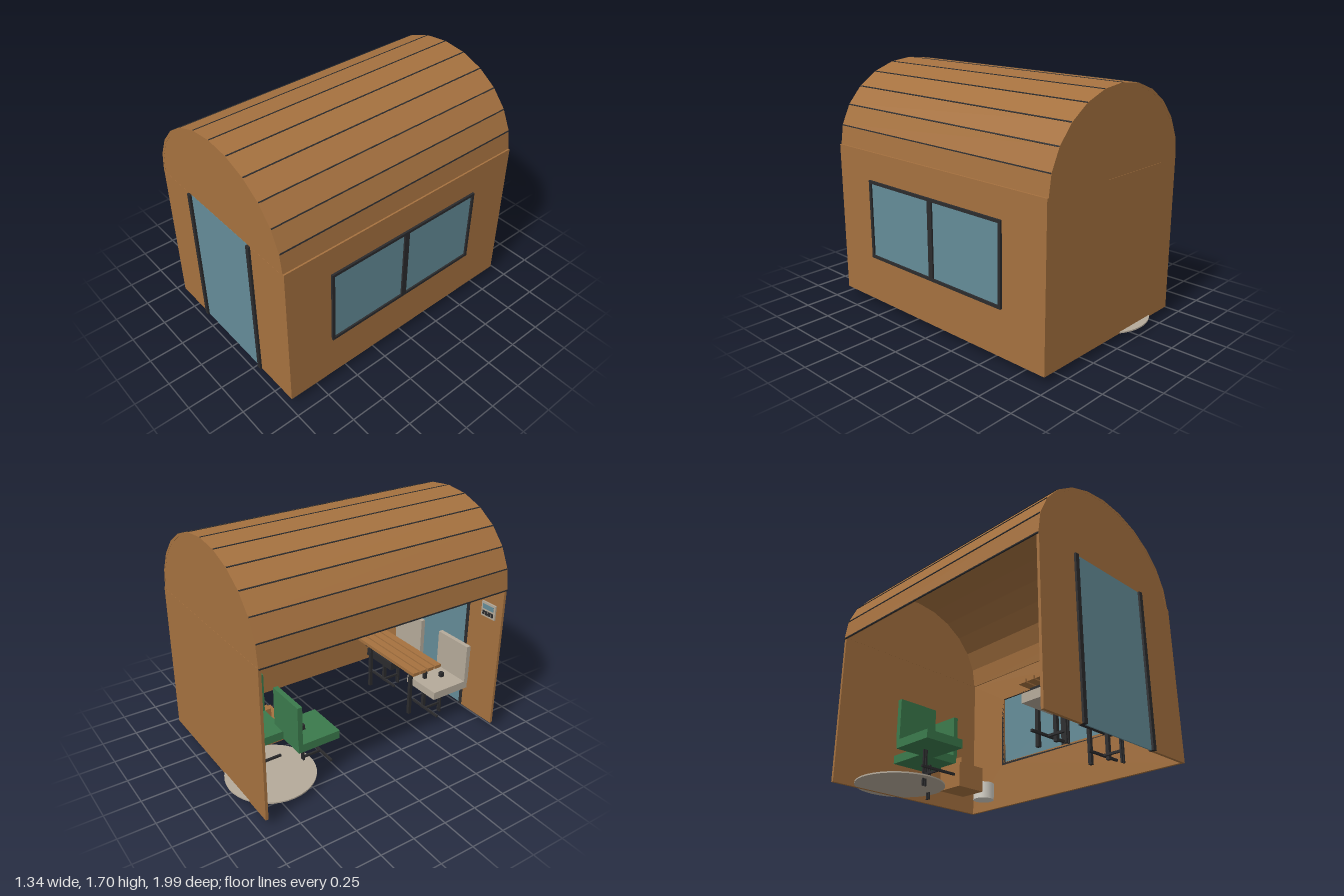
import * as THREE from 'three';

const mat = (name, hex) => {
  const m = new THREE.MeshStandardMaterial({ color: hex });
  m.name = name;
  return m;
};

export function createModel() {
  const wood = mat('wood', 0xa5713f);
  const dark = mat('dark metal', 0x2b2b2d);
  const glass = mat('glass', 0x648c98);
  const beige = mat('beige fabric', 0xb5aa9a);
  const green = mat('green fabric', 0x3b7a4c);
  const white = mat('white', 0xd6d2c8);
  glass.side = THREE.DoubleSide;

  const model = new THREE.Group();
  const add = (parent, name, geo, m, x = 0, y = 0, z = 0) => {
    const mesh = new THREE.Mesh(geo, m);
    mesh.name = name;
    mesh.position.set(x, y, z);
    parent.add(mesh);
    return mesh;
  };
  // box given by its min and max on each axis
  const box = (parent, name, m, x0, x1, y0, y1, z0, z1) =>
    add(parent, name, new THREE.BoxGeometry(x1 - x0, y1 - y0, z1 - z0), m,
      (x0 + x1) / 2, (y0 + y1) / 2, (z0 + z1) / 2);
  const group = (name, x = 0, y = 0, z = 0) => {
    const g = new THREE.Group();
    g.name = name;
    g.position.set(x, y, z);
    model.add(g);
    return g;
  };

  const FLOOR = 0.05, EAVE = 1.13, BACK = -0.945, FRONT = 0.975, X0 = -0.66, X1 = 0.655;

  // end walls: solid back, front split around the glass door
  box(model, 'backWall', wood, X0, X1, FLOOR, EAVE, BACK, BACK + 0.02);
  box(model, 'frontWallRight', wood, X0, -0.345, FLOOR, EAVE, FRONT - 0.02, FRONT);
  box(model, 'frontWallLeft', wood, 0.32, X1, FLOOR, EAVE, FRONT - 0.02, FRONT);
  box(model, 'doorGlass', glass, -0.32, 0.297, FLOOR, EAVE, FRONT - 0.009, FRONT);
  box(model, 'doorPostRight', dark, -0.35, -0.32, FLOOR, EAVE, FRONT - 0.022, 0.99);
  box(model, 'doorPostLeft', dark, 0.297, 0.327, FLOOR, EAVE, FRONT - 0.022, 0.99);

  // side wall with a window opening (shape x runs along -z)
  const rect = (path, x0, x1, y0, y1) => {
    path.moveTo(x0, y0); path.lineTo(x1, y0); path.lineTo(x1, y1); path.lineTo(x0, y1); path.closePath();
    return path;
  };
  const sidePanel = (name, m, outer, holes, depth, x) => {
    const s = rect(new THREE.Shape(), ...outer);
    holes.forEach((h) => s.holes.push(rect(new THREE.Path(), ...h)));
    const geo = new THREE.ExtrudeGeometry(s, { depth, bevelEnabled: false });
    add(model, name, geo, m, x).rotation.y = Math.PI / 2;
  };
  sidePanel('sideWall', wood, [-FRONT, -BACK, FLOOR, EAVE + 0.01], [[-0.62, 0.585, 0.395, 0.92]], 0.02, X1 - 0.02);
  sidePanel('windowFrame', dark, [-0.64, 0.605, 0.375, 0.94],
    [[-0.62, -0.04, 0.395, 0.92], [0, 0.585, 0.395, 0.92]], 0.035, X1 - 0.02);
  box(model, 'windowGlass', glass, X1 - 0.005, X1 + 0.003, 0.395, 0.92, -0.585, 0.62);

  // barrel roof: twelve planks with dark seams, and filled gables
  const CX = -0.01, RX = 0.655, RY = 0.57, N = 12;
  const at = (i, d = 0) => new THREE.Vector2(
    CX + (RX + d) * Math.cos(i / N * Math.PI), EAVE + (RY + d) * Math.sin(i / N * Math.PI));
  const len = FRONT - BACK, midZ = (FRONT + BACK) / 2;
  const roof = group('roof');
  for (let i = 0; i < N; i++) {
    const s = new THREE.Shape([at(i, -0.018), at(i), at(i + 1), at(i + 1, -0.018)]);
    add(roof, 'roofPlank', new THREE.ExtrudeGeometry(s, { depth: len, bevelEnabled: false }), wood, 0, 0, BACK);
  }
  for (let i = 0; i <= N; i++) {
    const p = at(i);
    const seam = add(roof, 'roofSeam', new THREE.BoxGeometry(0.008, 0.01, len - 0.004), dark, p.x, p.y, midZ);
    seam.position.y -= 0.003;
    seam.rotation.z = Math.atan2(Math.sin(i / N * Math.PI) / RY, Math.cos(i / N * Math.PI) / RX) - Math.PI / 2;
  }
  const gablePts = Array.from({ length: N + 1 }, (_, i) => at(i, -0.012));
  for (const z of [BACK + 0.001, FRONT - 0.021]) {
    const geo = new THREE.ExtrudeGeometry(new THREE.Shape(gablePts), { depth: 0.02, bevelEnabled: false });
    add(roof, 'gable', geo, wood, 0, 0, z);
  }

  // chair facing -z, with its origin at the foot of the post
  const chair = (name, x, z, turn, seatMat, backMat) => {
    const g = group(name, x, 0, z);
    g.rotation.y = turn;
    box(g, 'seat', seatMat, -0.155, 0.155, 0.25, 0.31, -0.2, 0.12);
    box(g, 'backrest', backMat, -0.155, 0.155, 0.31, 0.6, 0.09, 0.125);
    for (const s of [-1, 1]) box(g, 'postProng', dark, s * 0.01 - 0.006, s * 0.01 + 0.006, 0, 0.25, -0.006, 0.006);
    box(g, 'postCap', dark, -0.015, 0.015, 0.31, 0.345, -0.015, 0.015);
    box(g, 'footBar', dark, -0.14, 0.14, 0.07, 0.085, -0.15, -0.135);
    box(g, 'footBarArm', dark, -0.007, 0.007, 0.07, 0.085, -0.14, 0);
  };
  chair('diningChairRight', -0.268, 0.8, 0, beige, beige);
  chair('diningChairLeft', 0.245, 0.8, 0, dark, beige);
  chair('loungeChair', -0.272, -0.435, Math.PI, green, green);
  chair('cornerChair', -0.025, -0.688, Math.PI / 2, green, green);

  // slatted dining table
  const table = group('table');
  for (let i = 0; i < 4; i++) {
    const z = 0.48 + i * 0.068;
    box(table, 'tableSlat', wood, -0.32, 0.36, 0.435, 0.46, z, z + 0.056);
  }
  for (const x of [-0.22, 0.27]) {
    box(table, 'tableRail', dark, x - 0.01, x + 0.01, 0.42, 0.435, 0.49, 0.73);
    for (const z of [0.54, 0.68])
      box(table, 'tableLeg', dark, x - 0.012, x + 0.012, FLOOR, 0.42, z - 0.012, z + 0.012);
  }

  // round rug, side table and stool in the back corner
  add(model, 'rug', new THREE.CylinderGeometry(0.31, 0.31, 0.01, 40), beige, -0.275, 0.056, -0.69);
  const side = group('sideTable', 0.12, 0, -0.5);
  box(side, 'sideTableBody', wood, -0.11, 0.11, FLOOR, 0.22, -0.1, 0.1);
  box(side, 'sideTableBlock', wood, -0.03, 0.03, 0.22, 0.29, -0.03, 0.03);
  add(model, 'stool', new THREE.CylinderGeometry(0.075, 0.075, 0.12, 24), white, 0.395, 0.11, -0.56);

  // control panel inside the front wall
  const panel = group('wallPanel', -0.54, 0.93, FRONT - 0.02);
  box(panel, 'panelPlate', beige, -0.065, 0.065, -0.055, 0.055, -0.012, 0);
  box(panel, 'panelScreen', glass, -0.05, 0.05, 0.005, 0.04, -0.016, -0.011);
  for (let i = 0; i < 4; i++)
    box(panel, 'panelButton', dark, -0.05 + i * 0.027, -0.031 + i * 0.027, -0.04, -0.01, -0.017, -0.011);

  return model;
}
